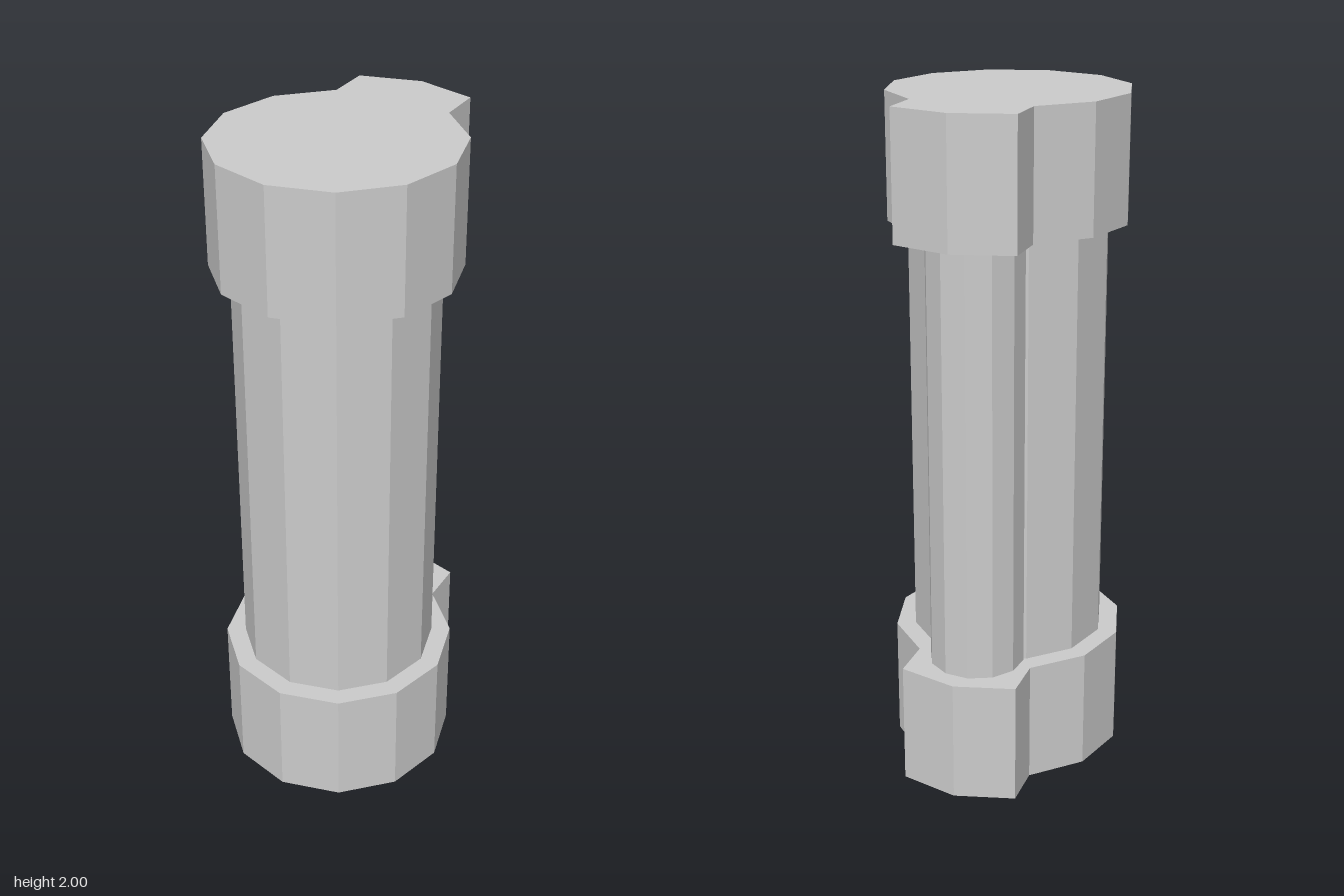
import * as THREE from 'three';

const SIDES = 12;
const PHASE = THREE.MathUtils.degToRad(5.5);
const CENTER_Z = 0.064;
const CAP_RADIUS = 0.35;
const CAP_HEIGHT = 0.365;
const HEIGHT = 2;

// Twelve-sided outline whose back two sides are pushed out into a lug
function capShape() {
  const points = [];
  for (let k = 0; k < SIDES; k++) {
    const a = PHASE + (k * Math.PI * 2) / SIDES;
    const x = CAP_RADIUS * Math.sin(a);
    const z = CENTER_Z + CAP_RADIUS * Math.cos(a);
    const base = new THREE.Vector2(x, -z);
    const pushed = new THREE.Vector2(x - 0.014, -(z - 0.131));
    if (k === 5) points.push(base, pushed);
    else if (k === 6) points.push(pushed);
    else if (k === 7) points.push(pushed, base);
    else points.push(base);
  }
  return new THREE.Shape(points);
}

export function createModel() {
  const group = new THREE.Group();
  const material = new THREE.MeshStandardMaterial({ color: 0xcccccc, flatShading: true });

  const add = (name, geometry, x, y, z) => {
    const mesh = new THREE.Mesh(geometry, material);
    mesh.name = name;
    mesh.position.set(x, y, z);
    group.add(mesh);
    return mesh;
  };

  // End caps
  const cap = new THREE.ExtrudeGeometry(capShape(), { depth: CAP_HEIGHT, bevelEnabled: false });
  cap.rotateX(-Math.PI / 2);
  add('bottomCap', cap, 0, 0, 0);
  add('topCap', cap, 0, HEIGHT - CAP_HEIGHT, 0);

  // Main column and the slimmer pipe behind it, running between the caps
  const span = HEIGHT - 2 * CAP_HEIGHT;
  const column = new THREE.CylinderGeometry(0.292, 0.292, span, SIDES, 1, true);
  add('column', column, 0, HEIGHT / 2, CENTER_Z).rotation.y = PHASE;

  const pipe = new THREE.CylinderGeometry(0.14, 0.14, span, SIDES, 1, true);
  add('rearPipe', pipe, -0.03, HEIGHT / 2, -0.22).rotation.y = THREE.MathUtils.degToRad(15);

  return group;
}
